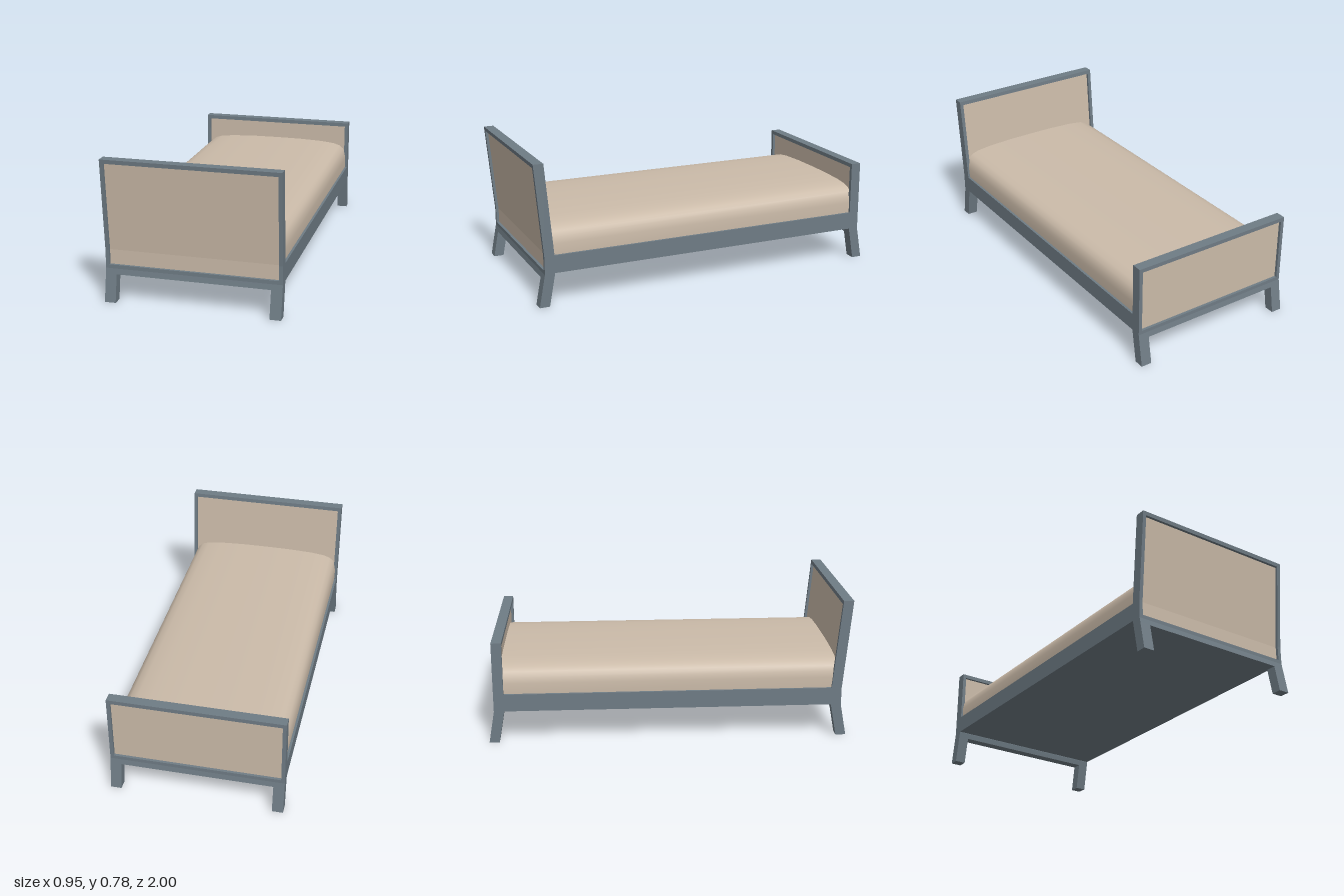
import * as THREE from 'three';
import { toCreasedNormals } from 'three/addons/utils/BufferGeometryUtils.js';

const frameMat = new THREE.MeshStandardMaterial({ color: 0x6f7c85 });
frameMat.name = 'slate frame';
const fabricMat = new THREE.MeshStandardMaterial({ color: 0xcbbba9 });
fabricMat.name = 'beige fabric';

function add(parent, name, geometry, material) {
  const mesh = new THREE.Mesh(geometry, material);
  mesh.name = name;
  parent.add(mesh);
}

// Height of the line's bends: [y, z] pairs; returns z at a given y
function zAt(line, y) {
  for (let i = 1; i < line.length; i++) {
    const [y0, z0] = line[i - 1], [y1, z1] = line[i];
    if (y <= y1) return z0 + (z1 - z0) * (y - y0) / (y1 - y0);
  }
  return line[line.length - 1][1];
}

// Slab that follows a bent centre line between two heights and two x positions
function slab(line, y0, y1, x0, x1, depth) {
  const ys = [y0, ...line.map(p => p[0]).filter(y => y > y0 && y < y1), y1];
  const front = ys.map(y => new THREE.Vector2(zAt(line, y) + depth / 2, y));
  const back = ys.map(y => new THREE.Vector2(zAt(line, y) - depth / 2, y)).reverse();
  const geometry = new THREE.ExtrudeGeometry(new THREE.Shape([...front, ...back]), {
    depth: x1 - x0, bevelEnabled: false,
  });
  return geometry.rotateY(-Math.PI / 2).translate(x1, 0, 0);
}

// Framed end panel with two splayed legs
function endBoard(name, line, top) {
  const board = new THREE.Group();
  board.name = name;
  const depth = 0.056, outer = 0.475, inner = 0.455;
  for (const side of [-1, 1]) {
    const span = (a, b) => side > 0 ? [a, b] : [-b, -a];
    const label = side > 0 ? 'left' : 'right';
    add(board, label + 'Leg', slab(line, 0, 0.15, ...span(0.415, outer), depth), frameMat);
    add(board, label + 'Post', slab(line, 0.2, top - 0.022, ...span(inner, outer), depth), frameMat);
  }
  add(board, 'bottomRail', slab(line, 0.15, 0.2, -outer, outer, depth), frameMat);
  add(board, 'topRail', slab(line, top - 0.022, top, -outer, outer, depth), frameMat);
  add(board, 'panel', slab(line, 0.2, top - 0.022, -inner, inner, 0.026), fabricMat);
  return board;
}

export function createModel() {
  const bed = new THREE.Group();
  bed.name = 'bed';

  bed.add(endBoard('headboard', [[0, 0.962], [0.18, 0.928], [0.28, 0.928], [0.78, 0.972]], 0.78));
  bed.add(endBoard('footboard', [[0, -0.972], [0.18, -0.94], [0.575, -0.94]], 0.575));

  // Solid base between the boards
  add(bed, 'base', new THREE.BoxGeometry(0.95, 0.097, 1.812).translate(0, 0.2315, -0.006), frameMat);

  // Softly domed mattress
  const half = [[0.462, 0.27], [0.464, 0.34], [0.458, 0.375], [0.445, 0.402],
    [0.42, 0.422], [0.38, 0.434], [0.3, 0.443], [0.15, 0.449]];
  const section = [
    ...half.map(([x, y]) => new THREE.Vector2(x, y)),
    new THREE.Vector2(0, 0.45),
    ...half.map(([x, y]) => new THREE.Vector2(-x, y)).reverse(),
  ];
  const mattress = new THREE.ExtrudeGeometry(new THREE.Shape(section), {
    depth: 1.86, bevelEnabled: false,
  }).translate(0, 0, -0.93);
  add(bed, 'mattress', toCreasedNormals(mattress, 0.8), fabricMat);

  return bed;
}
